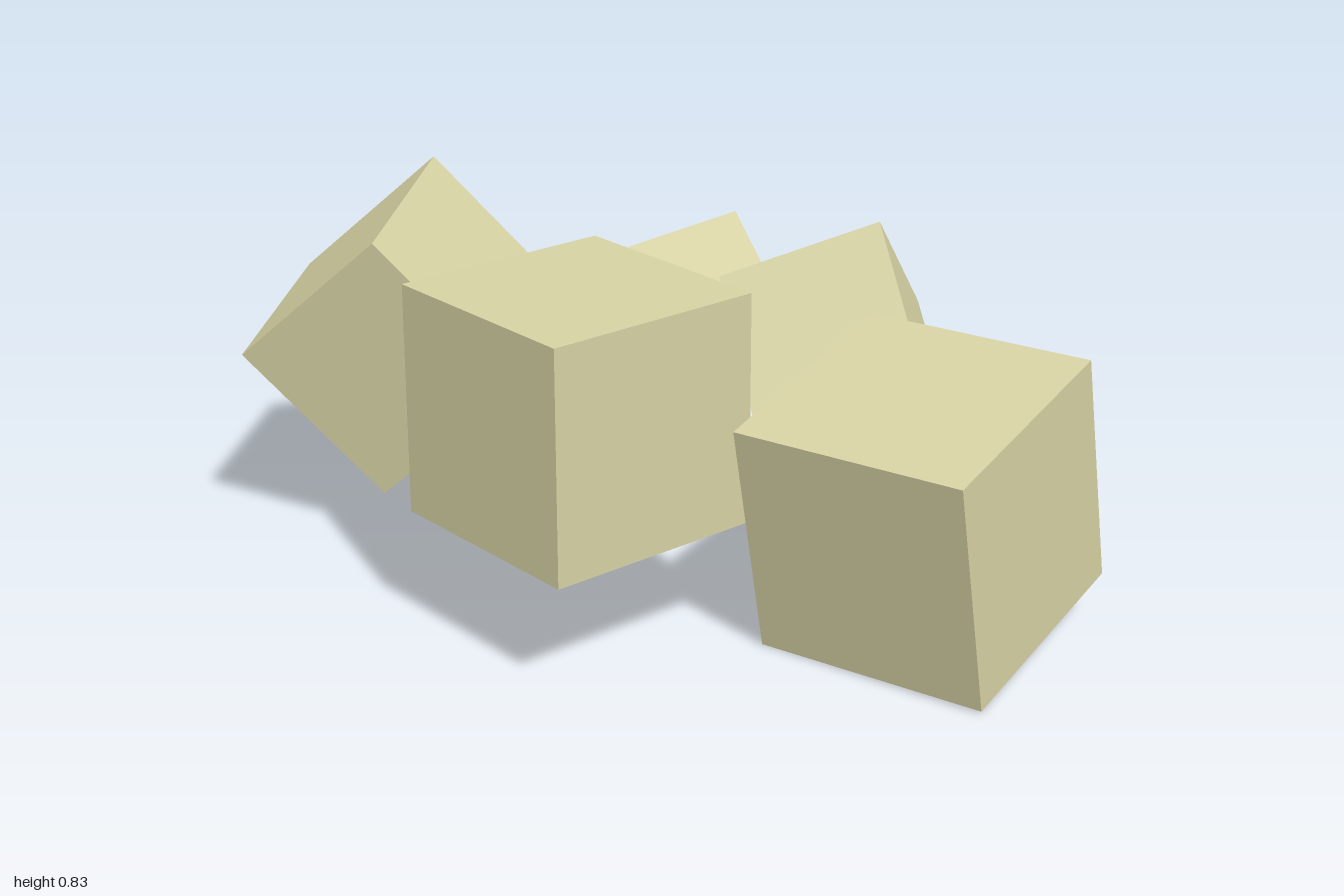
import * as THREE from 'three';

const material = new THREE.MeshStandardMaterial({ color: 0xd6d2a4, flatShading: true });

// A tumbled cube: its centre, edge length and the directions of two of its edges.
function makeCube(name, size, centre, edgeA, edgeB) {
  const x = new THREE.Vector3(...edgeA).normalize();
  const z = new THREE.Vector3().crossVectors(x, new THREE.Vector3(...edgeB)).normalize();
  const y = new THREE.Vector3().crossVectors(z, x);
  const cube = new THREE.Mesh(new THREE.BoxGeometry(size, size, size), material);
  cube.name = name;
  cube.quaternion.setFromRotationMatrix(new THREE.Matrix4().makeBasis(x, y, z));
  cube.position.set(...centre);
  return cube;
}

export function createModel() {
  const group = new THREE.Group();
  group.name = 'tumbledCubes';
  group.add(
    // upright cube on the right side
    makeCube('uprightCube', 0.512, [-0.406, 0.528, 0.15], [1, 0, 0], [0, 1, 0]),
    // large cube resting on the ground at the front
    makeCube('frontCube', 0.535, [0.11, 0.323, 0.664], [0.506, 0.108, -0.125], [-0.104, 0.524, 0.02]),
    // cube balanced on a corner at the left
    makeCube('leftCube', 0.387, [0.37, 0.44, 0.135], [0.251, -0.275, -0.112], [-0.142, -0.237, 0.278]),
    // small tilted cube behind it
    makeCube('smallRearCube', 0.386, [0.243, 0.405, -0.312], [0.381, 0.025, 0.002], [0.021, -0.24, -0.306]),
    // cube balanced on a corner at the back
    makeCube('rearCube', 0.461, [-0.31, 0.481, -0.606], [-0.168, -0.305, -0.303], [-0.36, -0.07, 0.277])
  );
  return group;
}
